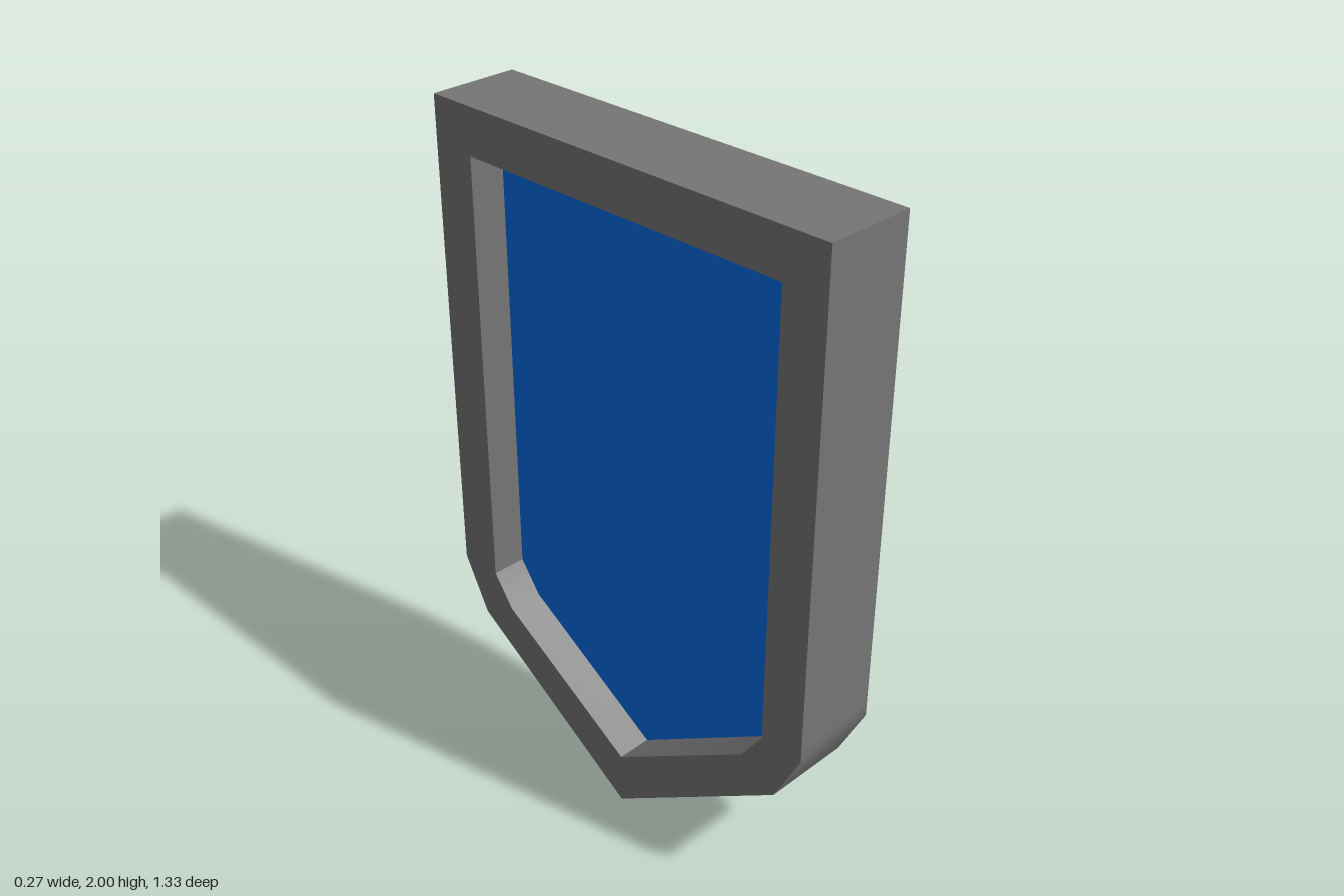
import * as THREE from 'three';
import { toCreasedNormals } from 'three/addons/utils/BufferGeometryUtils.js';

// Half of each outline, from the bottom tip up to the top corner.
// The extra point at 0.6 keeps the soft shading near the lower bend.
const OUTER = [[0, 0], [0.582, 0.39], [0.667, 0.556], [0.667, 0.6], [0.667, 2]];
const INNER = [[0, 0.163], [0.465, 0.459], [0.533, 0.555], [0.533, 1.865]];

// Mirrors a half outline into a closed counter-clockwise ring of points.
function outline(half) {
  const mirrored = half.slice(1).reverse().map(([x, y]) => [-x, y]);
  return [...half, ...mirrored].map(([x, y]) => new THREE.Vector2(x, y));
}

// Extrudes a shape centred on x = 0, with its faces turned towards +x and -x.
function slab(name, shape, thickness, color) {
  const geometry = new THREE.ExtrudeGeometry(shape, { depth: thickness, bevelEnabled: false });
  geometry.translate(0, 0, -thickness / 2).rotateY(Math.PI / 2);
  const creased = toCreasedNormals(geometry, THREE.MathUtils.degToRad(28));
  const mesh = new THREE.Mesh(creased, new THREE.MeshStandardMaterial({ color }));
  mesh.name = name;
  return mesh;
}

export function createModel() {
  const group = new THREE.Group();
  group.name = 'shield';

  // Thick rim with an opening
  const rim = new THREE.Shape(outline(OUTER));
  rim.holes.push(new THREE.Path(outline(INNER)));
  group.add(slab('rim', rim, 0.267, 0x767676));

  // Thin panel recessed on both sides
  group.add(slab('panel', new THREE.Shape(outline(INNER)), 0.054, 0x006ce6));

  return group;
}
